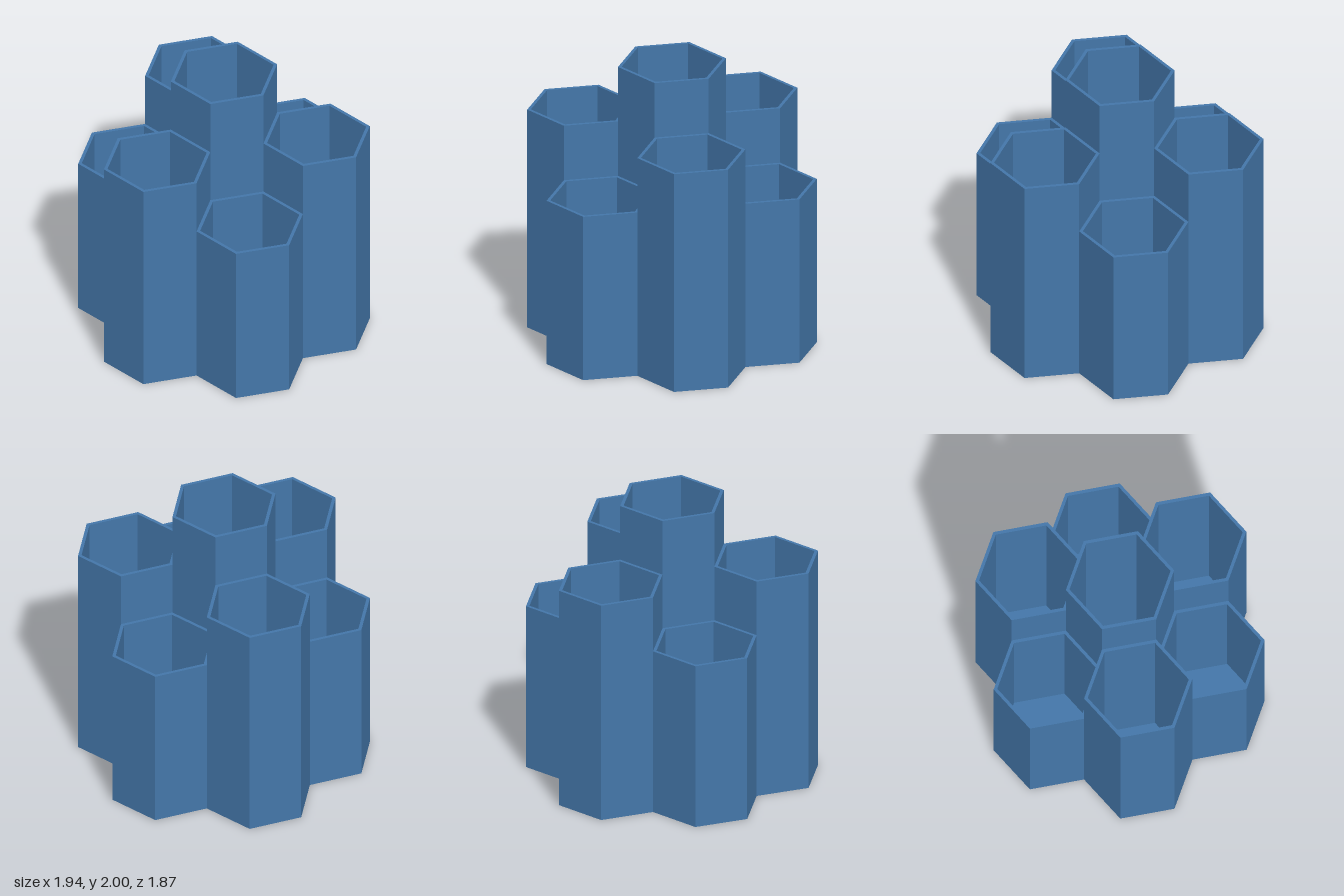
import * as THREE from 'three';

const APOTHEM = 0.3233; // half the width of a cell across its flats
const WALL = 0.022;
const FLOOR = 0.02;

// Corners of a regular hexagon whose points face front and back
function hexPoints(apothem) {
  const r = apothem / Math.cos(Math.PI / 6);
  return Array.from({ length: 6 }, (_, i) => {
    const a = Math.PI / 6 + (i * Math.PI) / 3;
    return new THREE.Vector2(r * Math.cos(a), r * Math.sin(a));
  });
}

// Extrude a shape upward from y = 0
function extrudeUp(shape, height) {
  return new THREE.ExtrudeGeometry(shape, { depth: height, bevelEnabled: false }).rotateX(-Math.PI / 2);
}

// Open-topped hexagonal tube with a thin floor
function makeCell(name, height, material) {
  const cell = new THREE.Group();
  cell.name = name;

  const ring = new THREE.Shape(hexPoints(APOTHEM));
  ring.holes.push(new THREE.Path(hexPoints(APOTHEM - WALL).reverse()));
  const walls = new THREE.Mesh(extrudeUp(ring, height), material);
  walls.name = 'cellWalls';

  const floor = new THREE.Mesh(extrudeUp(new THREE.Shape(hexPoints(APOTHEM - WALL)), FLOOR), material);
  floor.name = 'cellFloor';

  cell.add(walls, floor);
  return cell;
}

export function createModel() {
  const model = new THREE.Group();
  model.name = 'hexagonalOrganizer';
  const blue = new THREE.MeshStandardMaterial({ color: 0x4477aa });
  blue.name = 'blue';

  // Tall middle cell
  model.add(makeCell('centerCell', 2, blue));

  // Six outer cells, alternating between medium and short
  for (let i = 0; i < 6; i++) {
    const a = (i * Math.PI) / 3;
    const cell = makeCell(`outerCell${i + 1}`, i % 2 === 0 ? 1.6 : 1.2, blue);
    cell.position.set(2 * APOTHEM * Math.cos(a), 0, 2 * APOTHEM * Math.sin(a));
    model.add(cell);
  }
  return model;
}
